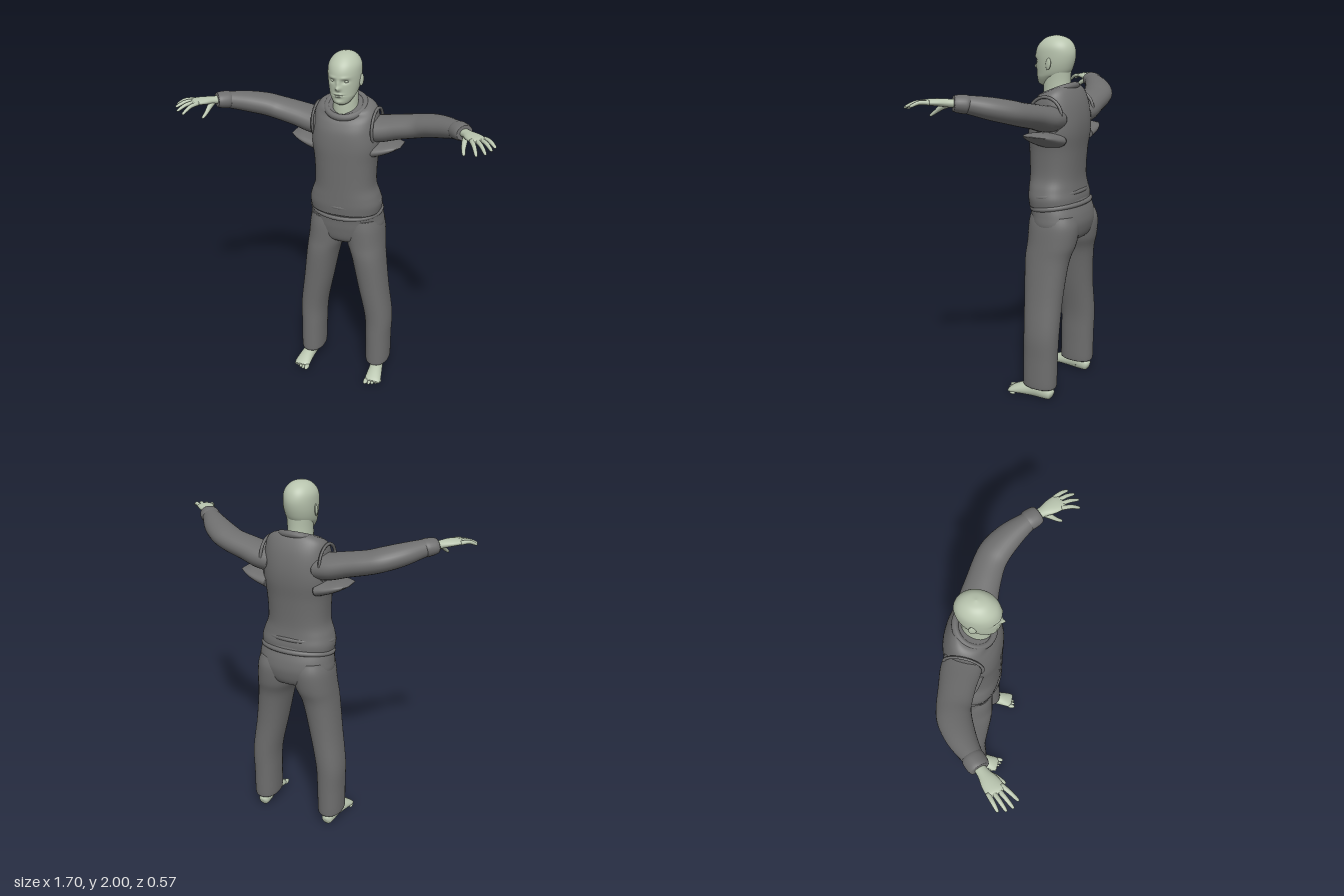
import * as THREE from 'three';

const V = (x, y, z) => new THREE.Vector3(x, y, z);

// Smooth skin through rings [x, y, z, halfWidth, halfDepth, tilt].
// upright: rings lie flat (x/z) and rise; otherwise they stand across the path.
function loft(rings, { n = 28, steps = 6, upright = false, power = 2, bump = null } = {}) {
  const rows = [], last = rings.length - 1;
  for (let i = 0; i < last; i++) {
    const [a, b, c, d] = [rings[Math.max(i - 1, 0)], rings[i], rings[i + 1], rings[Math.min(i + 2, last)]];
    for (let s = 0; s < steps + (i === last - 1 ? 1 : 0); s++) {
      const t = s / steps;
      rows.push(b.map((p1, k) => {
        const m1 = (c[k] - a[k]) / 2, m2 = (d[k] - p1) / 2, e = c[k] - p1;
        return p1 + t * (m1 + t * (3 * e - 2 * m1 - m2 + t * (m1 + m2 - 2 * e)));
      }));
    }
  }
  const pos = [], index = [];
  const at = (i) => V(...rows[Math.min(Math.max(i, 0), rows.length - 1)].slice(0, 3));
  rows.forEach((r, i) => {
    let u = V(1, 0, 0), v = V(0, r[5] || 0, 1);
    if (!upright) {
      const T = at(i + 1).sub(at(i - 1)).normalize();
      u = T.clone().cross(V(0, 1, 0)).normalize();
      v = u.clone().cross(T);
    }
    for (let j = 0; j < n; j++) {
      const t = (j / n) * Math.PI * 2, co = Math.cos(t), si = Math.sin(t);
      const f = (w) => Math.sign(w) * Math.pow(Math.abs(w), 2 / power);
      const p = V(r[0], r[1], r[2])
        .addScaledVector(u, Math.max(r[3], 0.001) * f(co))
        .addScaledVector(v, Math.max(r[4], 0.001) * f(si));
      if (bump) bump(p);
      pos.push(p.x, p.y, p.z);
    }
  });
  for (let i = 0; i < rows.length - 1; i++)
    for (let j = 0; j < n; j++) {
      const a = i * n + j, b = i * n + ((j + 1) % n);
      index.push(a, a + n, b, b, a + n, b + n);
    }
  const first = pos.length / 3, top = (rows.length - 1) * n;
  pos.push(...at(0).toArray(), ...at(rows.length - 1).toArray());
  for (let j = 0; j < n; j++) {
    const k = (j + 1) % n;
    index.push(first, j, k, first + 1, top + k, top + j);
  }
  const g = new THREE.BufferGeometry();
  g.setAttribute('position', new THREE.Float32BufferAttribute(pos, 3));
  g.setIndex(index);
  g.computeVertexNormals();
  return g;
}

// Flat rings written as [y, halfWidth, zFront, zBack, tilt, x]
const stack = (list, opts) => loft(
  list.map(([y, w, f, b, tilt = 0, x = 0]) => [x, y, (f + b) / 2, w, (f - b) / 2, tilt]),
  { upright: true, ...opts });

// Rolled fabric edge around the body
function roll(y, w, f, b, tilt, r) {
  const pts = [];
  for (let i = 0; i < 24; i++) {
    const t = (i / 24) * Math.PI * 2, dz = Math.sin(t) * (f - b) / 2;
    pts.push(V(Math.cos(t) * w, y + tilt * dz, (f + b) / 2 + dz));
  }
  return new THREE.TubeGeometry(new THREE.CatmullRomCurve3(pts, true), 72, r, 10, true);
}

function ball(x, y, z, a, b, c) {
  return new THREE.SphereGeometry(1, 18, 12).scale(a, b, c).translate(x, y, z);
}

function mirrored(g) {
  const m = g.clone().scale(-1, 1, 1), ix = m.index;
  for (let i = 0; i < ix.count; i += 3) {
    const a = ix.getX(i);
    ix.setX(i, ix.getX(i + 1));
    ix.setX(i + 1, a);
  }
  m.computeVertexNormals();
  return m;
}

// Facial relief: [x, y, spreadX, spreadY, push]
const relief = [
  [0, 1.832, 0.013, 0.012, 0.022], [0, 1.855, 0.009, 0.02, 0.011],
  [0.036, 1.868, 0.017, 0.01, -0.012], [-0.036, 1.868, 0.017, 0.01, -0.012],
  [0.032, 1.888, 0.022, 0.007, 0.005], [-0.032, 1.888, 0.022, 0.007, 0.005],
  [0, 1.801, 0.022, 0.005, 0.007], [0, 1.788, 0.018, 0.005, 0.007],
  [0, 1.794, 0.026, 0.002, -0.005], [0, 1.758, 0.02, 0.01, 0.005],
];
function sculptFace(p) {
  if (p.z < -0.05) return;
  let d = 0;
  for (const [x, y, sx, sy, k] of relief)
    d += k * Math.exp(-(((p.x - x) / sx) ** 2) - (((p.y - y) / sy) ** 2));
  p.z += d;
}

export function createModel() {
  const root = new THREE.Group();
  const skin = new THREE.MeshStandardMaterial({ color: 0xb8c4ae });
  skin.name = 'skin';
  const cloth = new THREE.MeshStandardMaterial({ color: 0x6e6e6e });
  cloth.name = 'greyCloth';
  const add = (name, g, mat) => {
    const m = new THREE.Mesh(g, mat);
    m.name = name;
    root.add(m);
  };
  const pair = (name, g, mat) => {
    add(name + 'Left', g, mat);
    add(name + 'Right', mirrored(g), mat);
  };

  // Head and neck
  add('head', stack([
    [1.738, 0.028, 0.005, -0.06], [1.75, 0.045, 0.02, -0.08], [1.78, 0.065, 0.026, -0.12],
    [1.805, 0.075, 0.028, -0.16], [1.85, 0.084, 0.03, -0.182], [1.9, 0.087, 0.034, -0.192],
    [1.94, 0.083, 0.022, -0.185], [1.97, 0.066, -0.003, -0.165], [1.99, 0.04, -0.035, -0.133],
    [2.0, 0.002, -0.082, -0.086],
  ], { n: 96, steps: 9, bump: sculptFace }), skin);
  add('neck', stack([
    [1.62, 0.08, -0.015, -0.185], [1.7, 0.068, -0.012, -0.168],
    [1.76, 0.066, -0.015, -0.163], [1.82, 0.068, -0.03, -0.165],
  ]), skin);
  pair('ear', ball(0, 0, 0, 0.008, 0.032, 0.018).rotateY(-0.3).rotateX(-0.15).translate(0.087, 1.855, -0.085), skin);
  pair('eye', ball(0.035, 1.868, 0.006, 0.014, 0.008, 0.011), skin);

  // Sweater
  add('sweaterBody', stack([
    [1.1, 0.2, 0.03, -0.25], [1.15, 0.206, 0.035, -0.25], [1.2, 0.193, 0.036, -0.24],
    [1.27, 0.171, 0.037, -0.235], [1.4, 0.174, 0.04, -0.243], [1.5, 0.188, 0.041, -0.255],
    [1.58, 0.182, 0.032, -0.254], [1.645, 0.176, 0.012, -0.238, -0.12],
    [1.69, 0.166, -0.008, -0.21, -0.3], [1.715, 0.135, -0.015, -0.185, -0.38],
    [1.72, 0.09, -0.025, -0.17, -0.4],
  ], { n: 48, power: 2.35 }), cloth);
  add('collar', roll(1.705, 0.103, -0.003, -0.19, -0.42, 0.018), cloth);
  add('sweaterHem', roll(1.165, 0.194, 0.025, -0.238, -0.12, 0.012), cloth);
  pair('shoulderSeam', new THREE.TorusGeometry(1, 0.09, 8, 36)
    .scale(0.098, 0.095, 0.09).rotateY(Math.PI / 2).translate(0.168, 1.6, -0.118), cloth);

  // Sleeves with cuffs and the loose fabric under each arm
  pair('sleeve', loft([
    [0.13, 1.58, -0.125, 0.1, 0.07], [0.2, 1.588, -0.127, 0.1, 0.069],
    [0.29, 1.61, -0.122, 0.09, 0.064], [0.39, 1.632, -0.112, 0.084, 0.061],
    [0.46, 1.652, -0.09, 0.083, 0.06], [0.54, 1.674, -0.04, 0.072, 0.056],
    [0.61, 1.694, 0.02, 0.054, 0.047], [0.655, 1.704, 0.06, 0.043, 0.04],
  ]), cloth);
  pair('cuff', loft([
    [0.622, 1.697, 0.028, 0.046, 0.04], [0.632, 1.7, 0.038, 0.054, 0.046],
    [0.66, 1.704, 0.066, 0.053, 0.043], [0.675, 1.706, 0.08, 0.046, 0.037],
  ], { steps: 4 }), cloth);
  pair('underarmFold', loft([
    [0.14, 1.47, -0.125, 0.105, 0.045], [0.2, 1.482, -0.125, 0.1, 0.036],
    [0.26, 1.498, -0.125, 0.085, 0.024], [0.31, 1.508, -0.125, 0.05, 0.003],
  ]), cloth);

  // Trousers
  add('trouserSeat', stack([
    [0.895, 0.09, -0.04, -0.2], [0.93, 0.17, 0.0, -0.262], [1.0, 0.212, 0.015, -0.285],
    [1.06, 0.21, 0.02, -0.28], [1.12, 0.2, 0.028, -0.258], [1.17, 0.185, 0.02, -0.24],
  ], { n: 48, power: 2.2 }), cloth);
  add('waistband', roll(1.1, 0.2, 0.024, -0.262, -0.14, 0.013), cloth);
  pair('trouserLeg', stack([
    [0.075, 0.066, -0.012, -0.207, 0, 0.211], [0.1, 0.072, -0.01, -0.212, 0, 0.211],
    [0.25, 0.074, -0.013, -0.215, 0, 0.209], [0.4, 0.079, -0.014, -0.22, 0, 0.205],
    [0.6, 0.086, 0.0, -0.222, 0, 0.172], [0.8, 0.095, 0.014, -0.24, 0, 0.14],
    [0.9, 0.108, 0.01, -0.268, 0, 0.117], [1.0, 0.11, 0.008, -0.278, 0, 0.105],
    [1.06, 0.1, 0.0, -0.26, 0, 0.1],
  ], { n: 36, power: 2.2 }), cloth);

  // Hands
  pair('palm', loft([
    [0.65, 1.704, 0.055, 0.028, 0.022], [0.69, 1.709, 0.097, 0.029, 0.02],
    [0.725, 1.714, 0.135, 0.043, 0.018], [0.757, 1.716, 0.168, 0.046, 0.014],
    [0.772, 1.714, 0.183, 0.036, 0.008],
  ], { n: 20 }), skin);
  const tips = [[0.775, 1.68, 0.28], [0.815, 1.688, 0.265], [0.837, 1.698, 0.237], [0.848, 1.7, 0.2]];
  tips.forEach(([x, y, z], i) => {
    const bx = 0.728 + i * 0.017, bz = 0.187 - i * 0.016;
    pair('finger' + (i + 1), loft([
      [bx, 1.716, bz, 0.012, 0.011],
      [bx + (x - bx) * 0.5, (1.72 + y) / 2 + 0.009, bz + (z - bz) * 0.5, 0.011, 0.01],
      [bx + (x - bx) * 0.92, y + 0.004, bz + (z - bz) * 0.92, 0.008, 0.007],
      [x, y, z, 0.002, 0.002],
    ], { n: 10, steps: 4 }), skin);
  });
  pair('thumb', loft([
    [0.685, 1.7, 0.105, 0.014, 0.015], [0.688, 1.686, 0.14, 0.014, 0.014],
    [0.692, 1.664, 0.172, 0.011, 0.01], [0.7, 1.645, 0.198, 0.008, 0.007],
    [0.702, 1.64, 0.204, 0.002, 0.002],
  ], { n: 10, steps: 4 }), skin);

  // Feet
  pair('foot', loft([
    [0.212, 0.032, -0.195, 0.012, 0.015], [0.212, 0.036, -0.182, 0.03, 0.034],
    [0.214, 0.043, -0.14, 0.036, 0.043], [0.218, 0.045, -0.08, 0.036, 0.045],
    [0.226, 0.035, -0.01, 0.043, 0.035], [0.231, 0.022, 0.045, 0.048, 0.022],
    [0.232, 0.014, 0.07, 0.044, 0.012],
  ], { n: 24 }), skin);
  pair('ankle', stack([
    [0.03, 0.034, -0.075, -0.175, 0, 0.214], [0.08, 0.036, -0.075, -0.165, 0, 0.214],
    [0.14, 0.038, -0.07, -0.16, 0, 0.213],
  ], { steps: 4 }), skin);
  for (let i = 0; i < 5; i++) {
    const r = i === 0 ? 0.014 : 0.0105 - i * 0.0004;
    pair('toe' + (i + 1), ball(0.194 + i * 0.019 + (i ? 0.003 : 0), r, 0.074 - i * i * 0.0022, r, r, 0.027 - i * 0.002), skin);
  }
  return root;
}
